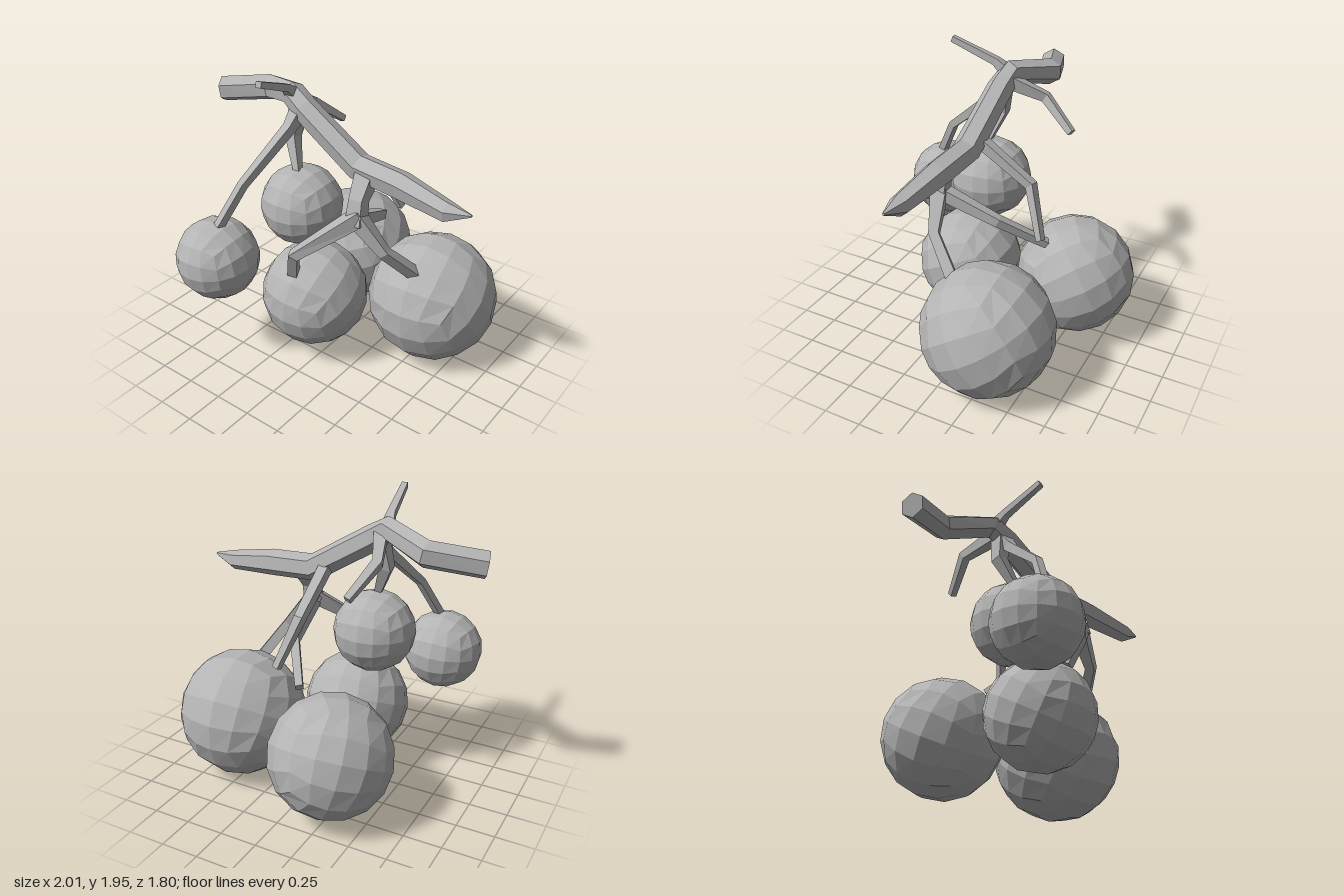
import * as THREE from 'three';

const grey = new THREE.MeshStandardMaterial({ color: 0xb4b4b4, flatShading: true });
grey.name = 'plain grey';

// Faceted ball: a 4x4x4 box pushed out onto a sphere with even angles
function berry(name, [x, y, z], r, rot) {
  const g = new THREE.BoxGeometry(2, 2, 2, 4, 4, 4);
  const p = g.attributes.position, v = new THREE.Vector3();
  const even = (t) => Math.tan(t * Math.PI / 4);
  for (let i = 0; i < p.count; i++) {
    v.fromBufferAttribute(p, i);
    v.set(even(v.x), even(v.y), even(v.z)).setLength(r);
    p.setXYZ(i, v.x, v.y, v.z);
  }
  g.computeVertexNormals();
  const m = new THREE.Mesh(g, grey);
  m.name = name;
  m.position.set(x, y, z);
  m.rotation.set(...rot);
  return m;
}

// Angular stem swept through nodes [x, y, z, radius], closed at both ends
function stem(name, nodes, sides, spin = 0) {
  const pts = nodes.map((n) => new THREE.Vector3(n[0], n[1], n[2]));
  const last = pts.length - 1, pos = [], idx = [];
  let side = null;
  pts.forEach((c, i) => {
    const a = pts[Math.max(i - 1, 0)], b = pts[Math.min(i + 1, last)];
    const dir = i > 0 && i < last
      ? c.clone().sub(a).normalize().add(b.clone().sub(c).normalize()).normalize()
      : b.clone().sub(a).normalize();
    if (!side) side = Math.abs(dir.y) > 0.9 ? new THREE.Vector3(1, 0, 0) : new THREE.Vector3(0, 1, 0);
    side = side.clone().addScaledVector(dir, -side.dot(dir)).normalize();
    const up = dir.clone().cross(side);
    for (let k = 0; k < sides; k++) {
      const t = spin + k / sides * Math.PI * 2;
      const q = c.clone().addScaledVector(side, Math.cos(t) * nodes[i][3])
        .addScaledVector(up, Math.sin(t) * nodes[i][3]);
      pos.push(q.x, q.y, q.z);
    }
  });
  for (let i = 0; i < last; i++) {
    for (let k = 0; k < sides; k++) {
      const a = i * sides + k, b = i * sides + (k + 1) % sides;
      idx.push(a, b, b + sides, a, b + sides, a + sides);
    }
  }
  for (let k = 1; k < sides - 1; k++) {
    const e = last * sides;
    idx.push(0, k + 1, k, e, e + k, e + k + 1);
  }
  const g = new THREE.BufferGeometry();
  g.setAttribute('position', new THREE.Float32BufferAttribute(pos, 3));
  g.setIndex(idx);
  g.computeVertexNormals();
  const m = new THREE.Mesh(g, grey);
  m.name = name;
  return m;
}

export function createModel() {
  const model = new THREE.Group();
  model.name = 'berryBranch';

  // Berries
  model.add(
    berry('frontRightBerry', [-0.535, 0.78, 0.63], 0.27, [0.1, 0, 0.05]),
    berry('middleBerry', [-0.24, 1.05, 0.125], 0.27, [0.05, 0, 0]),
    berry('frontBerry', [-0.083, 0.465, 0.203], 0.353, [0.5, 0, -0.08]),
    berry('leftBerry', [0.55, 0.44, -0.262], 0.43, [0.6, 0.05, 0]),
    berry('backBerry', [-0.255, 0.45, -0.51], 0.4, [0.5, 0.6, 0]),
  );

  // Main bough, tapering to a point on the left
  model.add(stem('bough', [
    [-0.99, 1.64, 0.02, 0.085], [-0.66, 1.69, -0.1, 0.085], [-0.36, 1.76, 0.045, 0.08],
    [-0.25, 1.69, 0.065, 0.085], [0.18, 1.425, 0.08, 0.09], [0.5, 1.405, 0.1, 0.088],
    [0.84, 1.36, 0.14, 0.066], [0.99, 1.383, 0.14, 0.008],
  ], 6));

  // Thin twigs
  const twigs = {
    upTwig: [[-0.35, 1.74, 0.03, 0.06], [-0.33, 1.83, 0.14, 0.035], [-0.29, 1.945, 0.43, 0.027]],
    backTwig: [[-0.31, 1.72, 0.03, 0.06], [-0.395, 1.62, -0.19, 0.042], [-0.31, 1.45, -0.41, 0.03]],
    frontRightTwig: [[-0.28, 1.7, 0.05, 0.07], [-0.3, 1.58, 0.16, 0.045],
      [-0.4, 1.29, 0.5, 0.035], [-0.49, 1.03, 0.645, 0.035]],
    middleTwig: [[-0.29, 1.7, 0.06, 0.07], [-0.33, 1.5, 0.09, 0.055], [-0.24, 1.29, 0.16, 0.03]],
    rearHook: [[0.07, 1.46, 0.04, 0.05], [0.065, 1.23, -0.31, 0.042], [0.17, 0.92, -0.43, 0.03]],
    forkStem: [[0.26, 1.41, 0.1, 0.085], [0.265, 1.27, 0.2, 0.065], [0.27, 1.12, 0.23, 0.075]],
    frontFork: [[0.29, 1.18, 0.22, 0.07], [-0.015, 0.92, 0.49, 0.045], [-0.08, 0.73, 0.42, 0.045]],
    leftFork: [[0.25, 1.19, 0.23, 0.075], [0.44, 0.95, 0.17, 0.045], [0.55, 0.75, -0.01, 0.05]],
    backFork: [[0.26, 1.15, 0.22, 0.06], [0.2, 1.0, -0.15, 0.042], [0.02, 0.81, -0.41, 0.035]],
  };
  for (const [name, nodes] of Object.entries(twigs)) model.add(stem(name, nodes, 4, Math.PI / 4));

  return model;
}
